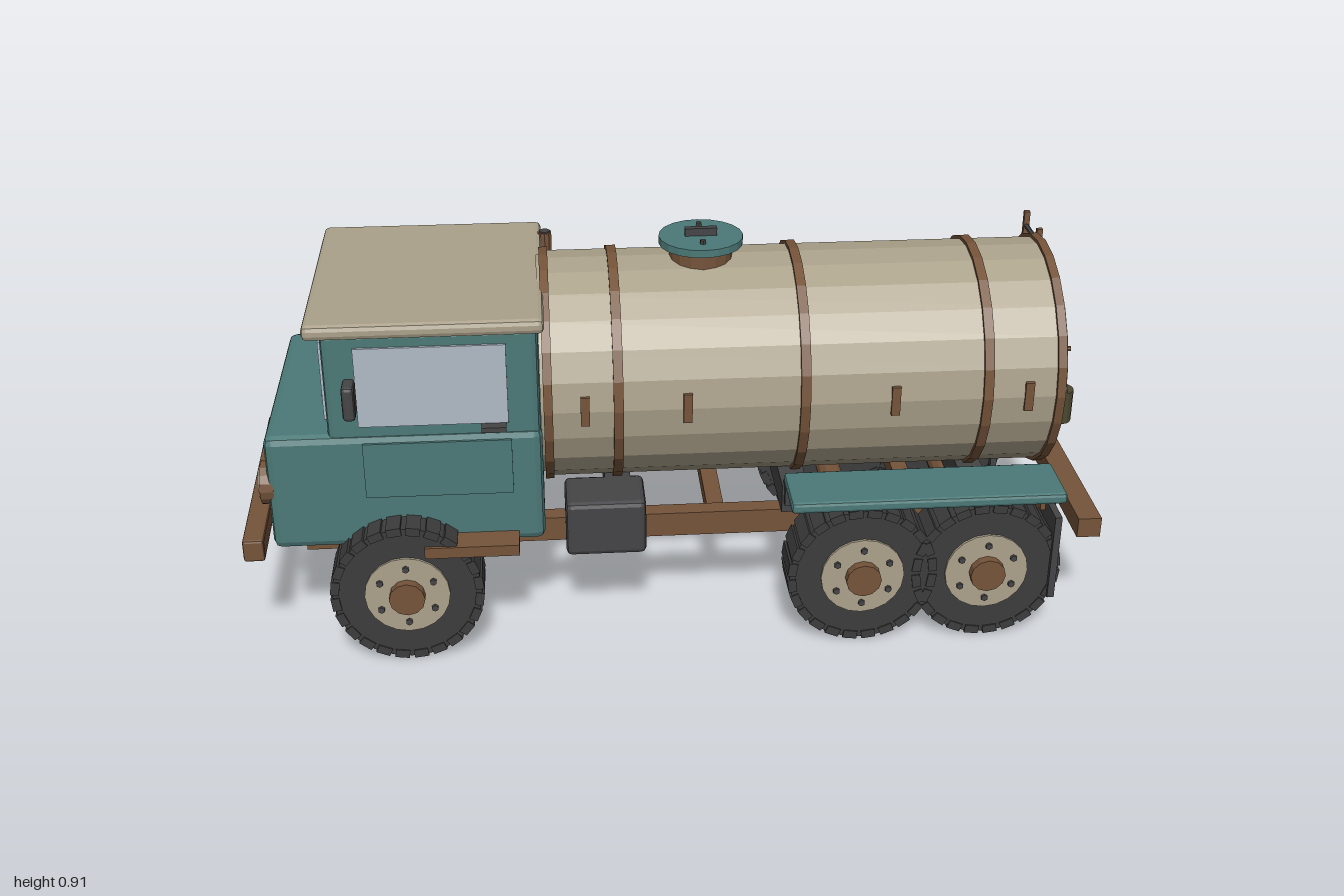
import * as THREE from 'three';
import { RoundedBoxGeometry } from 'three/addons/geometries/RoundedBoxGeometry.js';

function mat(name, color) {
  const m = new THREE.MeshStandardMaterial({ color });
  m.name = name;
  return m;
}

export function createModel() {
  const root = new THREE.Group();
  root.name = 'tankerTruck';
  const teal = mat('teal paint', 0x4c7a78);
  const cream = mat('cream paint', 0xaca28c);
  const brown = mat('rusty brown', 0x75543a);
  const dark = mat('dark metal', 0x454547);
  const rubber = mat('rubber', 0x3c3c3d);
  const glass = mat('glass', 0xb0bbc5);
  const olive = mat('olive metal', 0x4c4831);

  // Faceted mesh helper
  function add(name, geo, material, x = 0, y = 0, z = 0, parent = root) {
    const g = geo.index ? geo.toNonIndexed() : geo;
    g.computeVertexNormals();
    const mesh = new THREE.Mesh(g, material);
    mesh.name = name;
    mesh.position.set(x, y, z);
    parent.add(mesh);
    return mesh;
  }
  // Box from its limits, with an optional chamfer
  function box(name, m, [x0, x1], [y0, y1], [z0, z1], bevel = 0, parent = root) {
    const s = [x1 - x0, y1 - y0, z1 - z0];
    const geo = bevel ? new RoundedBoxGeometry(...s, 1, bevel) : new THREE.BoxGeometry(...s);
    return add(name, geo, m, (x0 + x1) / 2, (y0 + y1) / 2, (z0 + z1) / 2, parent);
  }
  // Cylinder along an axis
  function cyl(name, m, axis, r, len, x, y, z, sides = 12, parent = root) {
    const g = new THREE.CylinderGeometry(r, r, len, sides);
    if (axis === 'x') g.rotateZ(-Math.PI / 2);
    if (axis === 'z') g.rotateX(Math.PI / 2);
    return add(name, g, m, x, y, z, parent);
  }
  const span = (s, a, b) => (s > 0 ? [a, b] : [-b, -a]);
  const sides = [1, -1];

  // Chassis
  for (const s of sides) box('chassisRail', brown, [-0.855, 0.88], [0.22, 0.28], span(s, 0.165, 0.207));
  for (const x of [-0.72, -0.4, 0.1, 0.57]) box('crossMember', brown, [x - 0.02, x + 0.02], [0.23, 0.27], [-0.165, 0.165]);
  for (const x of [-0.13, 0.28, 0.705]) box('tankCradle', dark, [x - 0.03, x + 0.03], [0.28, 0.35], [-0.22, 0.22]);
  const bumper = box('frontBumper', brown, [-0.99, -0.942], [0.255, 0.31], [-0.31, 0.31], 0.006);
  bumper.rotation.y = 0.02;
  box('rearBumper', brown, [0.937, 0.992], [0.228, 0.277], [-0.3, 0.3]);

  // Cab
  box('cabLowerBody', teal, [-0.918, -0.302], [0.27, 0.553], [-0.285, 0.285], 0.018);
  box('cabUpperBody', teal, [-0.775, -0.305], [0.5, 0.8], [-0.278, 0.278], 0.014);
  box('cabRoof', cream, [-0.81, -0.29], [0.79, 0.825], [-0.297, 0.297], 0.012);
  for (const s of sides) {
    box('sideWindow', glass, [-0.705, -0.375], [0.575, 0.765], span(s, 0.276, 0.284));
    box('doorPanel', teal, [-0.7, -0.37], [0.4, 0.535], span(s, 0.283, 0.291));
    box('doorHandle', dark, [-0.435, -0.38], [0.562, 0.574], span(s, 0.28, 0.306));
    box('windshield', glass, [-0.782, -0.773], [0.58, 0.768], span(s, 0.015, 0.25));
    const wiper = box('wiper', dark, [-0.79, -0.783], [0.634, 0.642], span(s, 0.06, 0.2));
    wiper.rotation.x = 0.35;
    // Headlights
    cyl('headlightRing', brown, 'x', 0.05, 0.03, -0.92, 0.42, s * 0.235, 16);
    cyl('headlightLens', cream, 'x', 0.04, 0.01, -0.934, 0.42, s * 0.235, 16);
    // Mirrors on arms
    box('mirror', dark, [-0.722, -0.695], [0.653, 0.733], span(s, 0.355, 0.41), 0.008);
    const arm = cyl('mirrorArm', brown, 'z', 0.005, 0.09, -0.708, 0.677, s * 0.318, 6);
    arm.rotation.x = -s * 0.29;
    box('cabStep', brown, [-0.575, -0.362], [0.27, 0.297], span(s, 0.2, 0.35));
  }
  box('grille', rubber, [-0.924, -0.916], [0.325, 0.485], [-0.175, 0.175]);
  for (let i = 0; i < 5; i++) {
    const y = 0.345 + i * 0.03;
    box('grilleSlat', dark, [-0.931, -0.924], [y - 0.005, y + 0.005], [-0.17, 0.17]);
  }
  cyl('exhaustStack', brown, 'y', 0.017, 0.57, -0.281, 0.54, -0.22, 10);
  cyl('exhaustOpening', dark, 'y', 0.013, 0.004, -0.281, 0.826, -0.22, 10);

  // Chassis boxes
  box('fuelTank', dark, [-0.255, -0.07], [0.213, 0.35], [0.135, 0.272], 0.012);
  box('batteryBox', dark, [-0.25, -0.2], [0.25, 0.3], [-0.245, -0.2]);

  // Tank barrel with bands
  const tankY = 0.583;
  cyl('tankBarrel', cream, 'x', 0.265, 1.172, 0.294, tankY, 0, 24);
  for (const [x, w] of [[-0.287, 0.02], [-0.13, 0.022], [0.29, 0.022], [0.705, 0.022], [0.872, 0.02]]) {
    cyl('tankBand', brown, 'x', 0.273, w, x, tankY, 0, 24);
  }
  for (const x of [-0.3, 0.884]) cyl('tankEnd', cream, 'x', 0.255, 0.008, x, tankY, 0, 24);
  for (const s of sides) for (const x of [-0.205, 0.025, 0.495, 0.8]) {
    box('tankTab', brown, [x - 0.01, x + 0.01], [0.55, 0.62], span(s, 0.255, 0.269));
  }

  // Filler hatch
  cyl('hatchNeck', brown, 'y', 0.073, 0.05, 0.075, 0.855, 0, 16);
  cyl('hatchLid', teal, 'y', 0.097, 0.018, 0.075, 0.885, 0, 20);
  box('hatchHandle', dark, [0.038, 0.112], [0.894, 0.912], [-0.008, 0.008]);
  for (const s of sides) cyl('hatchBolt', dark, 'y', 0.007, 0.01, 0.075, 0.898, s * 0.055, 6);

  // Ladder
  for (const z of [-0.137, -0.255]) box('ladderRail', brown, [0.899, 0.913], [0.285, 0.83], [z - 0.006, z + 0.006]);
  for (let i = 0; i < 6; i++) cyl('ladderRung', dark, 'z', 0.006, 0.125, 0.906, 0.392 + i * 0.0803, -0.196, 6);

  // Outlet valve
  cyl('valvePipe', olive, 'x', 0.03, 0.085, 0.923, 0.465, 0, 14);
  cyl('valveSpout', olive, 'y', 0.031, 0.082, 0.957, 0.426, 0, 14);
  cyl('valveStem', dark, 'y', 0.008, 0.085, 0.926, 0.53, 0, 8);
  cyl('valveHandle', brown, 'x', 0.006, 0.088, 0.926, 0.574, 0, 8);

  // Rear fenders, mudflaps and lamp brackets
  for (const s of sides) {
    box('rearFender', teal, [0.253, 0.885], [0.355, 0.382], span(s, 0.21, 0.362), 0.008);
    box('mudflap', dark, [0.864, 0.88], [0.1, 0.315], span(s, 0.225, 0.354));
    box('fenderBracket', dark, [0.255, 0.295], [0.305, 0.357], span(s, 0.2, 0.235));
    box('rearLamp', brown, [0.852, 0.888], [0.288, 0.323], span(s, 0.205, 0.27));
  }

  // Wheels
  for (const x of [-0.62, 0.425, 0.715]) {
    cyl('axle', brown, 'z', 0.03, 0.54, x, 0.175, 0, 12);
    for (const s of sides) {
      const wheel = new THREE.Group();
      wheel.name = 'wheel';
      wheel.position.set(x, 0.175, s * 0.292);
      if (s < 0) wheel.rotation.y = Math.PI;
      root.add(wheel);
      cyl('tire', rubber, 'z', 0.17, 0.1, 0, 0, 0, 24, wheel);
      for (let i = 0; i < 24; i++) {
        const a = ((i + 0.5) / 24) * Math.PI * 2;
        const lug = add('treadLug', new THREE.BoxGeometry(0.02, 0.033, 0.106), rubber,
          Math.cos(a) * 0.164, Math.sin(a) * 0.164, 0, wheel);
        lug.rotation.z = a;
      }
      cyl('rim', cream, 'z', 0.097, 0.02, 0, 0, 0.046, 20, wheel);
      cyl('hub', brown, 'z', 0.041, 0.04, 0, 0, 0.057, 12, wheel);
      for (let i = 0; i < 6; i++) {
        const a = ((i + 0.5) / 6) * Math.PI * 2;
        cyl('wheelBolt', dark, 'z', 0.008, 0.012, Math.cos(a) * 0.07, Math.sin(a) * 0.07, 0.057, 6, wheel);
      }
    }
  }
  return root;
}
